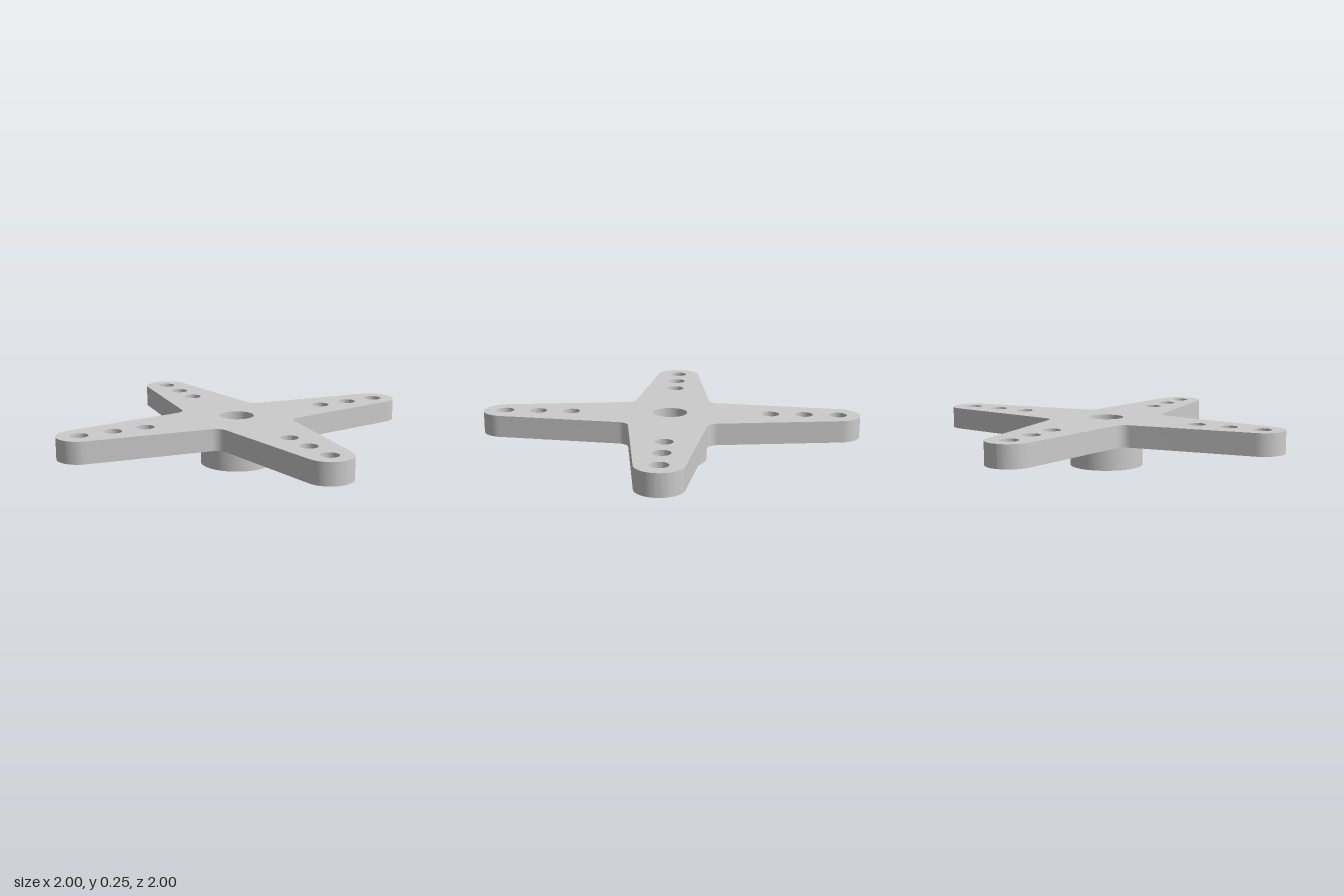
import * as THREE from 'three';
import { toCreasedNormals } from 'three/addons/utils/BufferGeometryUtils.js';

const HUB_H = 0.14, TOP = 0.255;
const HUB_R = 0.194, SOCKET_R = 0.136, BORE_R = 0.09;
const TIP_R = 0.12, TIP_X = 1 - TIP_R, TAPER = 0.129;
const FILLET_R = 0.06, FILLET_D = 0.2615 * Math.SQRT2;
const HOLE_R = 0.046, HOLE_X = [0.53, 0.707, 0.885];

function circle(x, y, r) {
  return new THREE.Path().absarc(x, y, r, 0, Math.PI * 2, true);
}

// Four tapered arms with round tips, joined by small fillets
function crossShape() {
  const shape = new THREE.Shape();
  const q = Math.PI / 2;
  for (let i = 0; i < 4; i++) {
    const t = i * q, c = Math.cos(t), s = Math.sin(t), f = t + q / 2;
    shape.absarc(TIP_X * c, TIP_X * s, TIP_R, t - q + TAPER, t + q - TAPER, false);
    shape.absarc(FILLET_D * Math.cos(f), FILLET_D * Math.sin(f), FILLET_R,
      t + 3 * q - TAPER, t + 2 * q + TAPER, true);
    for (const x of HOLE_X) shape.holes.push(circle(x * c, x * s, HOLE_R));
  }
  shape.closePath();
  shape.holes.push(circle(0, 0, BORE_R));
  return shape;
}

export function createModel() {
  const group = new THREE.Group();
  group.name = 'crossHorn';
  const material = new THREE.MeshStandardMaterial({ color: 0xcccccc });
  const add = (name, geometry) => {
    const mesh = new THREE.Mesh(toCreasedNormals(geometry, 0.6), material);
    mesh.name = name;
    group.add(mesh);
  };

  // Flat cross plate with the arm holes and centre screw hole
  const plate = new THREE.ExtrudeGeometry(crossShape(), {
    depth: TOP - HUB_H, bevelEnabled: false, curveSegments: 24,
  });
  plate.rotateX(-Math.PI / 2).translate(0, HUB_H, 0);
  add('armPlate', plate);

  // Hub collar below the plate, with a wide socket open at the bottom
  const profile = [[SOCKET_R, HUB_H], [SOCKET_R, 0], [HUB_R, 0], [HUB_R, HUB_H]]
    .map(([r, y]) => new THREE.Vector2(r, y));
  add('hub', new THREE.LatheGeometry(profile, 64));

  return group;
}
